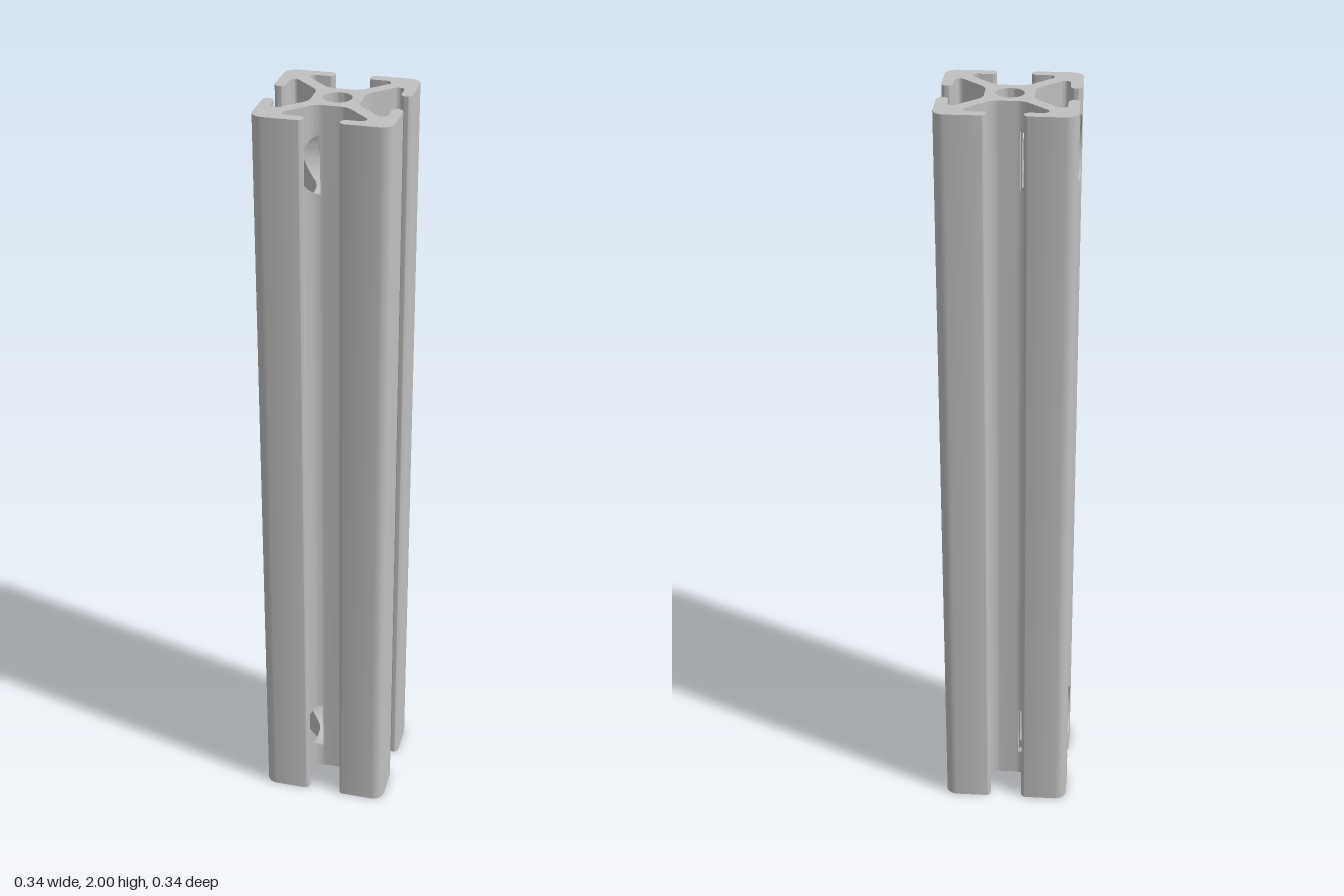
import * as THREE from 'three';
import { toCreasedNormals } from 'three/addons/utils/BufferGeometryUtils.js';

const LENGTH = 2;
const BORE = 0.035;                      // central bore radius
const R = 0.096;                         // connector hole radius
const FLOOR = -0.028;                    // x of the flat hole bottoms (drilled from -x)
const HOLES = [0.148, LENGTH - 0.148];   // hole heights

// Round every corner [x, z, radius] of a closed polygon
function roundPolygon(corners, steps = 6) {
  const n = corners.length, out = [];
  const at = (i) => new THREE.Vector2(corners[(i + n) % n][0], corners[(i + n) % n][1]);
  corners.forEach(([, , r], i) => {
    const p = at(i);
    const a = at(i - 1).sub(p).normalize(), b = at(i + 1).sub(p).normalize();
    const half = Math.acos(THREE.MathUtils.clamp(a.dot(b), -1, 1)) / 2;
    const centre = a.clone().add(b).normalize().multiplyScalar(r / Math.sin(half)).add(p);
    const t = r / Math.tan(half);
    const s = a.multiplyScalar(t).add(p).sub(centre), e = b.multiplyScalar(t).add(p).sub(centre);
    const a0 = Math.atan2(s.y, s.x);
    let turn = Math.atan2(e.y, e.x) - a0;
    turn -= 2 * Math.PI * Math.round(turn / (2 * Math.PI));
    for (let k = 0; k <= steps; k++) {
      const w = a0 + turn * k / steps;
      out.push(new THREE.Vector2(centre.x + r * Math.cos(w), centre.y + r * Math.sin(w)));
    }
  });
  return out;
}

// Slotted outline: half a quadrant, mirrored on the diagonal, turned four times
function makeOutline() {
  const half = [
    [0.038, 0.06, 0.04], [0.1, 0.122, 0.012], [0.1, 0.141, 0.013],
    [0.043, 0.141, 0.0138], [0.043, 0.169, 0.0138], [0.169, 0.169, 0.03],
  ];
  const mirrored = half.slice(0, -1).reverse().map(([x, z, r]) => [z, x, r]);
  let quadrant = [...half, ...mirrored];
  const corners = [];
  for (let i = 0; i < 4; i++) {
    corners.push(...quadrant);
    quadrant = quadrant.map(([x, z, r]) => [z, -x, r]);
  }
  return roundPolygon(corners);
}

// Cut the edges of a loop at the hole floor and at steps across the holes
function splitEdges(loop, zSteps) {
  const edges = [];
  loop.forEach((a, i) => {
    const b = loop[(i + 1) % loop.length];
    const ts = [0, 1, (FLOOR - a.x) / (b.x - a.x)];
    zSteps.forEach((z) => ts.push((z - a.y) / (b.y - a.y)));
    const cuts = ts.filter((t) => t >= 0 && t <= 1).sort((p, q) => p - q);
    for (let k = 1; k < cuts.length; k++) {
      if (cuts[k] - cuts[k - 1] < 1e-5) continue;
      edges.push([a.clone().lerp(b, cuts[k - 1]), a.clone().lerp(b, cuts[k])]);
    }
  });
  return edges;
}

function makeProfileGeometry() {
  const positions = [];
  const u = new THREE.Vector3(), v = new THREE.Vector3();

  // Triangle wound so that it faces along the given direction
  const tri = (a, b, c, facing) => {
    u.subVectors(b, a);
    v.subVectors(c, a);
    const normal = u.cross(v);
    if (normal.length() < 1e-11) return;
    const order = normal.dot(facing) < 0 ? [a, c, b] : [a, b, c];
    order.forEach((p) => positions.push(p.x, p.y, p.z));
  };
  const quad = (a, b, c, d, facing) => { tri(a, b, c, facing); tri(a, c, d, facing); };
  const P = (x, y, z) => new THREE.Vector3(x, y, z);
  const chord = (z) => Math.sqrt(Math.max(0, R * R - z * z));

  const outline = makeOutline();
  const bore = [];
  for (let i = 0; i < 40; i++) {
    const w = i / 40 * Math.PI * 2;
    bore.push(new THREE.Vector2(BORE * Math.cos(w), BORE * Math.sin(w)));
  }

  // End caps
  const all = [...outline, ...bore];
  for (const face of THREE.ShapeUtils.triangulateShape(outline, [bore])) {
    for (const y of [0, LENGTH]) {
      tri(...face.map((i) => P(all[i].x, y, all[i].y)), P(0, y - 1, 0));
    }
  }

  // Long walls, interrupted where the holes pass
  const zSteps = [];
  for (let k = -24; k <= 24; k++) zSteps.push(R * Math.sin(k * Math.PI / 48));
  const edges = [...splitEdges(outline, zSteps), ...splitEdges(bore, zSteps)];
  for (const [a, b] of edges) {
    const cut = (a.x + b.x) / 2 < FLOOR && Math.abs(a.y + b.y) / 2 < R;
    const heights = (p) => {
      const h = cut ? chord(p.y) : 0;
      return [0, ...HOLES.flatMap((y) => [y - h, y + h]), LENGTH];
    };
    const ya = cut ? heights(a) : [0, LENGTH], yb = cut ? heights(b) : [0, LENGTH];
    const facing = P(a.y - b.y, 0, b.x - a.x);
    for (let k = 0; k < ya.length; k += 2) {
      quad(P(a.x, ya[k], a.y), P(b.x, yb[k], b.y), P(b.x, yb[k + 1], b.y), P(a.x, ya[k + 1], a.y), facing);
    }
  }

  // Hole walls and flat floors, in thin slabs across z
  const levels = [...zSteps, ...edges.map(([a]) => a.y)]
    .filter((z) => Math.abs(z) <= R)
    .sort((p, q) => p - q)
    .filter((z, i, list) => i === 0 || z - list[i - 1] > 1e-7);
  for (let i = 1; i < levels.length; i++) {
    const z0 = levels[i - 1], z1 = levels[i], mid = (z0 + z1) / 2;
    const xAt = ([a, b], z) => a.x + (b.x - a.x) * (z - a.y) / (b.y - a.y);
    const crossing = edges
      .filter(([a, b]) => (a.y < mid) !== (b.y < mid))
      .sort((p, q) => xAt(p, mid) - xAt(q, mid));
    for (let k = 0; k + 1 < crossing.length; k += 2) {
      const [l, r] = [crossing[k], crossing[k + 1]];
      if (xAt(l, mid) >= FLOOR) continue;
      const clip = (e, z) => Math.min(xAt(e, z), FLOOR);
      const h0 = chord(z0), h1 = chord(z1);
      for (const y of HOLES) {
        for (const s of [-1, 1]) {
          quad(P(clip(l, z0), y + s * h0, z0), P(clip(r, z0), y + s * h0, z0),
            P(clip(r, z1), y + s * h1, z1), P(clip(l, z1), y + s * h1, z1),
            P(0, -s * (h0 + h1), -2 * mid));
        }
        if (xAt(r, mid) > FLOOR) {
          quad(P(FLOOR, y - h0, z0), P(FLOOR, y + h0, z0),
            P(FLOOR, y + h1, z1), P(FLOOR, y - h1, z1), P(-1, 0, 0));
        }
      }
    }
  }

  const geometry = new THREE.BufferGeometry();
  geometry.setAttribute('position', new THREE.Float32BufferAttribute(positions, 3));
  return toCreasedNormals(geometry, 0.6);
}

export function createModel() {
  const aluminium = new THREE.MeshStandardMaterial({ color: 0xc0c0c0 });
  aluminium.name = 'aluminium grey';
  const group = new THREE.Group();
  group.name = 'slottedProfile';
  const bar = new THREE.Mesh(makeProfileGeometry(), aluminium);
  bar.name = 'extrudedBar';
  group.add(bar);
  return group;
}
